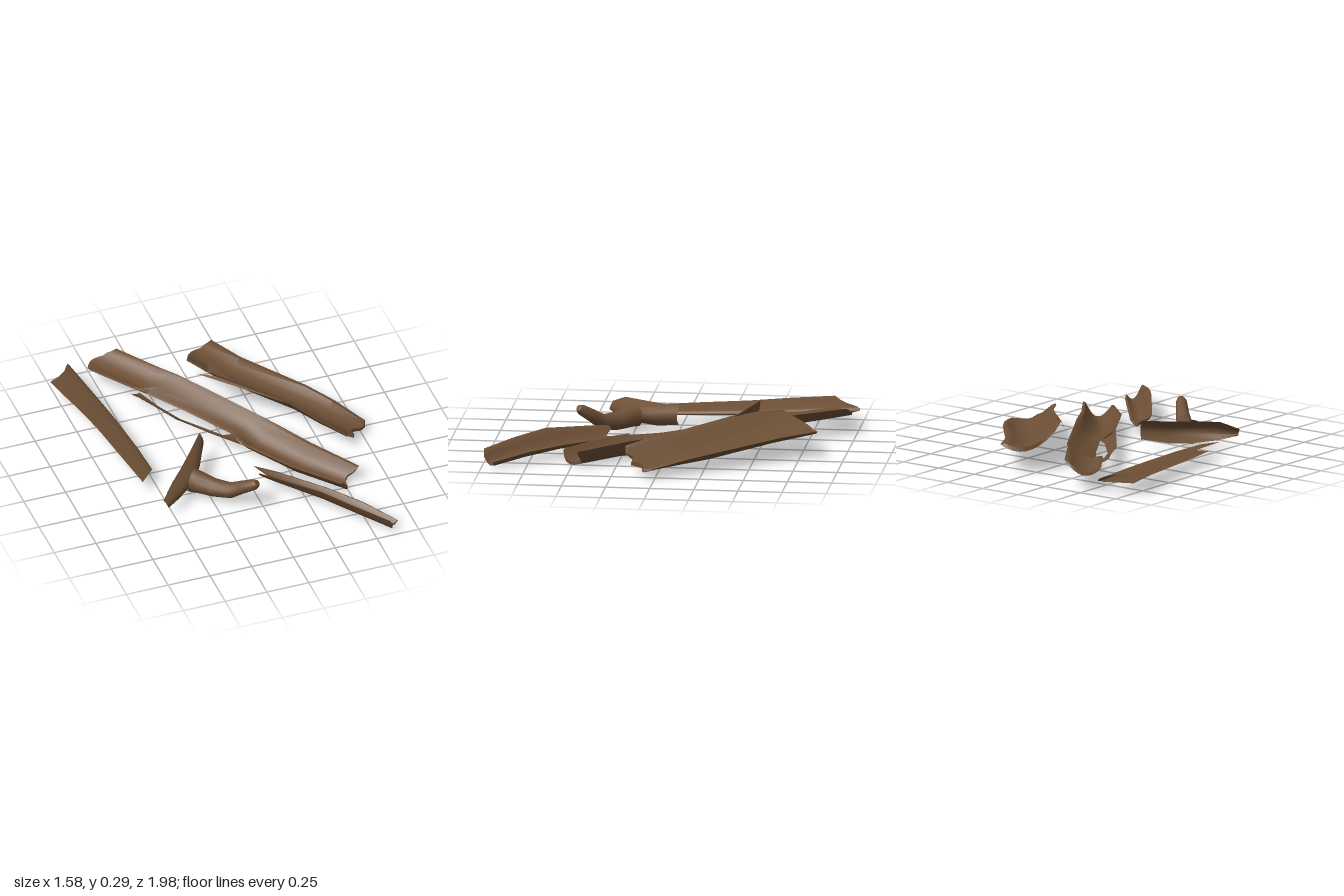
import * as THREE from 'three';
import { toCreasedNormals } from 'three/addons/utils/BufferGeometryUtils.js';

const bark = new THREE.MeshStandardMaterial({ color: 0x6e5036, side: THREE.DoubleSide });
bark.name = 'brown bark';

const DOWN = new THREE.Vector3(0, -1, 0), UP = new THREE.Vector3(0, 1, 0);

// Surface through a grid of points, smooth with sharp creases
function gridMesh(name, rows) {
  const n = rows[0].length, index = [];
  for (let i = 0; i < rows.length - 1; i++) {
    for (let j = 0; j < n - 1; j++) {
      const a = i * n + j, b = a + n;
      index.push(a, b, a + 1, b, b + 1, a + 1);
    }
  }
  const geo = new THREE.BufferGeometry().setFromPoints(rows.flat());
  geo.setIndex(index);
  const mesh = new THREE.Mesh(toCreasedNormals(geo, 0.8), bark);
  mesh.name = name;
  return mesh;
}

// Curved bark. Each row: left rim xyz, right rim xyz, bulge along dir.
// backJag and frontJag shift the end points along the length.
// With a thickness, an inner layer, rims and end caps are added.
function sheet(name, rows, dir, { backJag = [0], frontJag = [0], power = 2, cols = 8, thick = 0 } = {}) {
  const layer = (inset, rise) => {
    const grid = rows.map(([lx, ly, lz, rx, ry, rz, bulge]) => {
      const l = new THREE.Vector3(lx, ly, lz), r = new THREE.Vector3(rx, ry, rz);
      return Array.from({ length: cols + 1 }, (_, j) => {
        const t = j / cols, across = inset + (1 - 2 * inset) * t;
        const depth = Math.max(bulge - rise, 0) * (1 - Math.abs(2 * t - 1) ** power);
        return l.clone().lerp(r, across).addScaledVector(dir, depth);
      });
    });
    const shift = (row, next, jag) => row.forEach((p, j) => {
      const along = p.clone().sub(next[j]).normalize();
      p.addScaledVector(along, jag[j % jag.length]);
    });
    shift(grid[0], grid[1], backJag);
    shift(grid.at(-1), grid.at(-2), frontJag);
    return grid;
  };
  const outer = layer(0, 0);
  if (!thick) return gridMesh(name, outer);
  const inner = layer(0.08, thick);
  const loop = (a, b) => [...a, ...[...b].reverse(), a[0]];
  const loops = outer.map((row, i) => loop(row, inner[i]));
  return gridMesh(name, [
    loop(outer[0], outer[0]), ...loops, loop(outer.at(-1), outer.at(-1)),
  ]);
}

// Thin pointed chip
function splinter(name, pts) {
  const [a, b, c] = pts.map(p => new THREE.Vector3(...p));
  return gridMesh(name, [[a, b], [c, c.clone()]]);
}

export function createModel() {
  const group = new THREE.Group();
  group.name = 'barkPieces';

  // Widest slab, a shallow trough with its left rim raised
  group.add(sheet('wideSlab', [
    [-0.04, 0.23, -0.63, 0.18, 0.165, -0.85, 0.07],
    [0.06, 0.24, -0.44, 0.29, 0.15, -0.66, 0.09],
    [0.38, 0.20, -0.10, 0.56, 0.12, -0.33, 0.095],
    [0.47, 0.18, 0.05, 0.67, 0.10, -0.17, 0.085],
    [0.58, 0.15, 0.19, 0.78, 0.065, 0.01, 0.06],
  ], DOWN, {
    backJag: [0, 0.03, 0.05, 0.06, 0.06, 0.05, 0.03, 0.02, 0],
    frontJag: [0, 0.02, 0, 0.03, -0.01, -0.01, 0.02, 0.03, 0.01],
    thick: 0.025,
  }));
  group.add(splinter('slabSplinter', [[0.03, 0.23, -0.5], [0.15, 0.22, -0.36], [0.04, 0.30, -0.51]]));
  group.add(splinter('edgeSplinter', [[0.38, 0.20, -0.10], [0.06, 0.235, -0.44], [-0.03, 0.22, -0.52]]));

  // Long trough, narrowed beside the hole
  group.add(sheet('longSlab', [
    [-0.54, 0.13, -0.86, -0.35, 0.17, -0.95, 0.05],
    [-0.37, 0.13, -0.62, -0.18, 0.17, -0.70, 0.06],
    [-0.30, 0.09, -0.60, -0.11, 0.17, -0.61, 0.03],
    [-0.14, 0.08, -0.38, 0.04, 0.16, -0.38, 0.03],
    [0.03, 0.07, -0.12, 0.20, 0.15, -0.13, 0.04],
    [0.05, 0.10, 0.05, 0.27, 0.14, -0.03, 0.09],
    [0.22, 0.11, 0.33, 0.40, 0.13, 0.19, 0.10],
    [0.44, 0.09, 0.55, 0.58, 0.11, 0.44, 0.09],
  ], DOWN, {
    backJag: [0, 0.04, 0.06, 0.07, 0.07, 0.06, 0.04, 0.03, 0],
    frontJag: [0.01, 0.02, 0.02, 0.01, -0.01, -0.03, -0.03, 0, 0.02],
    thick: 0.02,
  }));
  // Strip along the other side of the hole
  group.add(sheet('holeStrip', [
    [-0.40, 0.12, -0.60, -0.33, 0.09, -0.62, 0.01],
    [-0.32, 0.12, -0.47, -0.27, 0.08, -0.48, 0.01],
    [-0.24, 0.11, -0.32, -0.19, 0.07, -0.34, 0.01],
    [-0.10, 0.10, -0.14, -0.01, 0.06, -0.13, 0.01],
    [0.05, 0.10, 0.05, 0.04, 0.07, -0.11, 0.01],
  ], DOWN, { cols: 3 }));

  // Tapering half pipe on the far right side, opening sideways
  group.add(sheet('taperedSlab', [
    [-0.79, 0.135, -0.83, -0.74, 0.065, -0.82, 0.21],
    [-0.73, 0.13, -0.58, -0.68, 0.06, -0.58, 0.18],
    [-0.68, 0.12, -0.36, -0.64, 0.055, -0.36, 0.165],
    [-0.635, 0.11, -0.05, -0.60, 0.055, -0.06, 0.15],
    [-0.60, 0.10, 0.17, -0.57, 0.055, 0.10, 0.12],
  ], new THREE.Vector3(0.7, 0, -0.7), {
    backJag: [0, -0.02, -0.02, 0, 0.01, 0.02, 0.02, 0.02, 0, 0, -0.01, -0.01, 0], power: 3, cols: 12,
  }));

  // Narrow trough at the front with a lower right rim
  group.add(sheet('narrowSlab', [
    [0.03, 0.13, 0.36, 0.06, 0.085, 0.24, 0.03],
    [0.09, 0.14, 0.44, 0.16, 0.085, 0.33, 0.045],
    [0.28, 0.165, 0.68, 0.36, 0.09, 0.56, 0.065],
    [0.42, 0.14, 0.84, 0.51, 0.08, 0.74, 0.065],
    [0.57, 0.11, 0.985, 0.645, 0.05, 0.92, 0.06],
  ], DOWN, {
    backJag: [0, 0, -0.05, -0.08, -0.07, -0.02, 0.02],
    frontJag: [0.01, 0.02, 0.01, 0, -0.02, 0, 0.01], cols: 6, thick: 0.015,
  }));

  // Upright curved plate, bulging outward and leaning out at its foot
  const branch = new THREE.Group();
  branch.name = 'branchPiece';
  const plate = [
    [-0.56, 0.40, 0.125, 0.08, 0.005, 0.03],
    [-0.48, 0.32, 0.17, 0.057, 0.04, 0.03],
    [-0.39, 0.22, 0.178, 0.05, 0.07, 0.02],
    [-0.30, 0.11, 0.185, 0.055, 0.06, 0.01],
    [-0.19, -0.025, 0.20, 0.09, 0.02, 0.01],
  ].map(([x, z, top, low, bulge, lean]) => Array.from({ length: 9 }, (_, j) => {
    const t = j / 8, out = 4 * t * (1 - t) * bulge + t * lean;
    return new THREE.Vector3(x + out * 0.78, top + (low - top) * t, z + out * 0.62);
  }));
  branch.add(gridMesh('branchPlate', plate));

  // Stub flaring from the plate and bending up to its tip: x, y, z, radius
  const rings = [
    [-0.335, 0.105, 0.25, 0.07], [-0.295, 0.10, 0.285, 0.062],
    [-0.235, 0.09, 0.34, 0.053], [-0.16, 0.10, 0.41, 0.045],
    [-0.11, 0.145, 0.46, 0.037], [-0.06, 0.19, 0.515, 0.031],
    [-0.045, 0.205, 0.53, 0.02], [-0.042, 0.208, 0.533, 0.001],
  ];
  const centres = rings.map(([x, y, z]) => new THREE.Vector3(x, y, z));
  branch.add(gridMesh('branchStub', rings.map(([, , , r], i) => {
    const dir = centres[Math.min(i + 1, 7)].clone().sub(centres[Math.max(i - 1, 0)]).normalize();
    const side = new THREE.Vector3().crossVectors(dir, UP).normalize();
    const rise = new THREE.Vector3().crossVectors(side, dir);
    return Array.from({ length: 13 }, (_, j) => {
      const a = j / 12 * Math.PI * 2;
      return centres[i].clone().addScaledVector(side, Math.cos(a) * r).addScaledVector(rise, Math.sin(a) * r);
    });
  })));
  group.add(branch);
  return group;
}
